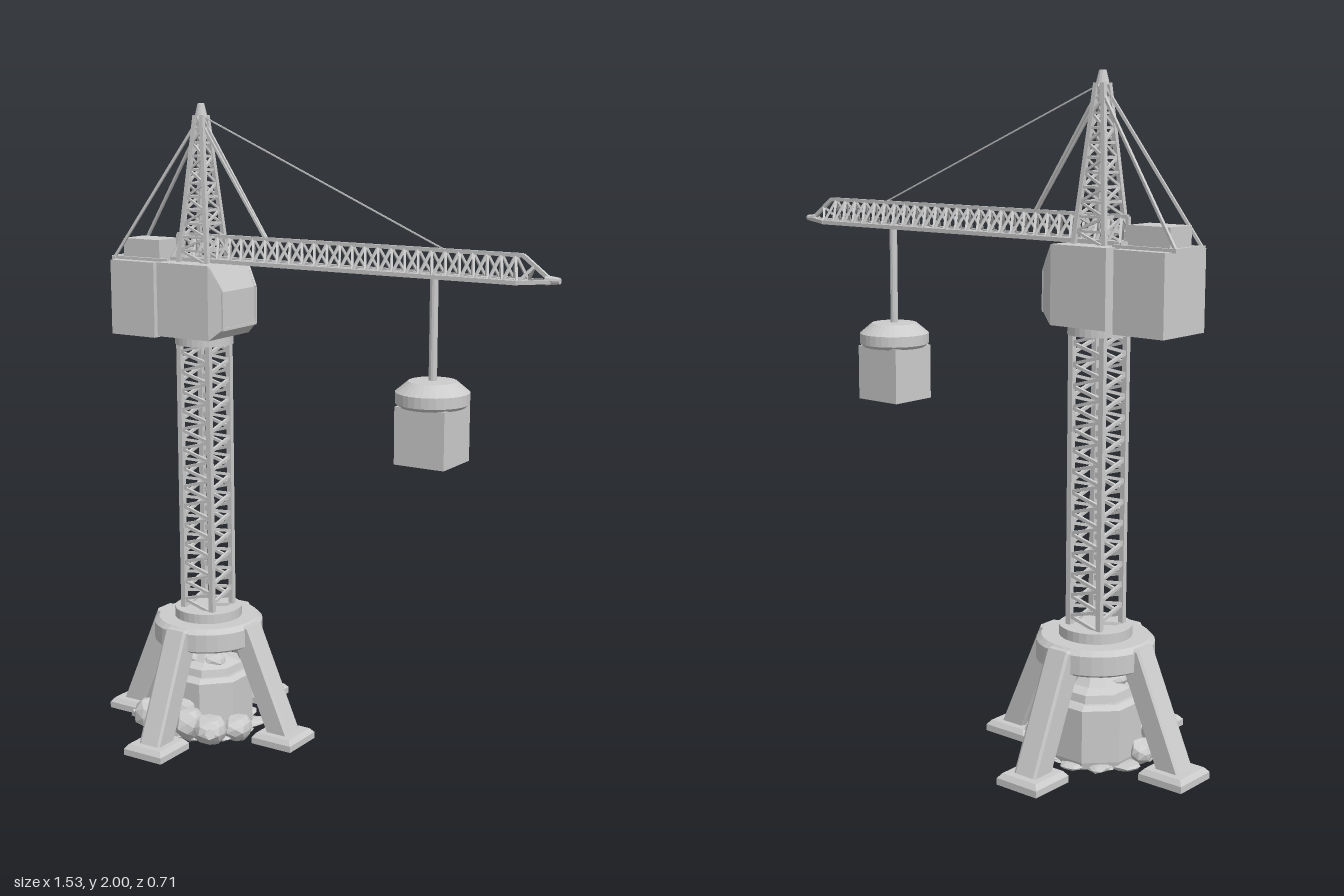
import * as THREE from 'three';
import { mergeGeometries } from 'three/addons/utils/BufferGeometryUtils.js';

const MAT = new THREE.MeshStandardMaterial({ color: 0xcccccc, flatShading: true, side: THREE.DoubleSide });
const AXIS = -0.412; // x of the tower
const V = (x, y, z) => new THREE.Vector3(x, y, z);

function add(parent, name, geo, x = 0, y = 0, z = 0) {
  const mesh = new THREE.Mesh(geo, MAT);
  mesh.name = name;
  mesh.position.set(x, y, z);
  parent.add(mesh);
  return mesh;
}

// Square bar from a to b
function bar(a, b, w, h = w) {
  const geo = new THREE.BoxGeometry(w, h, a.distanceTo(b));
  const m = new THREE.Matrix4();
  const dir = b.clone().sub(a).normalize();
  m.lookAt(b, a, Math.abs(dir.y) > 0.99 ? V(0, 0, 1) : V(0, 1, 0));
  m.setPosition(a.clone().add(b).multiplyScalar(0.5));
  return geo.applyMatrix4(m);
}

// Box whose face on one axis side is shrunk and shifted
function taperBox(w, h, d, rule) {
  const geo = new THREE.BoxGeometry(w, h, d);
  const p = geo.attributes.position;
  const v = V(0, 0, 0);
  for (let i = 0; i < p.count; i++) {
    rule(v.fromBufferAttribute(p, i));
    p.setXYZ(i, v.x, v.y, v.z);
  }
  geo.computeVertexNormals();
  return geo;
}

// Four-sided lattice column, half widths r0 to r1
function latticeColumn(y0, y1, r0, r1, steps, chord, brace, rungs) {
  const parts = [];
  const corner = (k, t) => {
    const r = r0 + (r1 - r0) * t;
    const a = Math.PI / 4 + k * Math.PI / 2;
    return V(r * Math.SQRT2 * Math.cos(a), y0 + (y1 - y0) * t, r * Math.SQRT2 * Math.sin(a));
  };
  for (let k = 0; k < 4; k++) {
    parts.push(bar(corner(k, 0), corner(k, 1), chord));
    for (let i = 0; i < steps; i++) {
      const s = i % 2;
      parts.push(bar(corner(k + s, i / steps), corner(k + 1 - s, (i + 1) / steps), brace));
      if (rungs) parts.push(bar(corner(k, i / steps), corner(k + 1, i / steps), brace));
    }
  }
  return mergeGeometries(parts);
}

const lathe = (pts, n = 32) => new THREE.LatheGeometry(pts.map(p => new THREE.Vector2(...p)), n);

let seed = 7;
const rnd = () => (seed = (seed * 16807) % 2147483647) / 2147483647;

// Lumpy stone
function rock(sx, sy, sz) {
  const geo = new THREE.IcosahedronGeometry(1, 1);
  const p = geo.attributes.position;
  const f = rnd() * 6;
  for (let i = 0; i < p.count; i++) {
    const x = p.getX(i), y = p.getY(i), z = p.getZ(i);
    const s = 0.92 + 0.14 * Math.sin(3 * x + f) * Math.cos(4 * z + 2 * y + f);
    p.setXYZ(i, x * s * sx, y * s * sy, z * s * sz);
  }
  geo.computeVertexNormals();
  return geo;
}

function buildBase(g) {
  add(g, 'baseRing', lathe([[0.1, 0.325], [0.155, 0.325], [0.172, 0.335], [0.172, 0.39], [0.157, 0.405], [0, 0.405]]));
  add(g, 'ringFloor', new THREE.CylinderGeometry(0.11, 0.11, 0.02, 32), 0, 0.36, 0);
  add(g, 'towerFlange', new THREE.CylinderGeometry(0.106, 0.106, 0.03, 32), 0, 0.42, 0);
  // Four splayed legs with pads
  for (let i = 0; i < 4; i++) {
    const leg = new THREE.Group();
    leg.name = 'leg';
    leg.rotation.y = i * Math.PI / 2;
    const s = new THREE.Shape([[0.325, 0.06], [0.245, 0.06], [0.125, 0.335], [0.125, 0.4], [0.178, 0.4]]
      .map(p => new THREE.Vector2(...p)));
    const strut = new THREE.ExtrudeGeometry(s, { depth: 0.062, bevelThickness: 0.008, bevelSize: 0.006, bevelOffset: -0.006, bevelSegments: 1 });
    add(leg, 'legStrut', strut, 0, 0, -0.031);
    add(leg, 'legPad', new THREE.BoxGeometry(0.145, 0.02, 0.142), 0.283, 0.045, 0);
    add(leg, 'legPadTop', taperBox(0.145, 0.014, 0.142, v => {
      if (v.y > 0) { v.x *= 0.84; v.z *= 0.84; }
    }), 0.283, 0.062, 0);
    g.add(leg);
  }
}

function buildMound(g) {
  // Faceted tank with a stepped lid
  const tank = add(g, 'tank', lathe([[0, 0.04], [0.135, 0.04], [0.14, 0.06], [0.14, 0.215], [0.122, 0.227],
    [0.11, 0.227], [0.105, 0.25], [0.07, 0.262], [0.05, 0.285], [0, 0.29]], 8));
  tank.rotation.y = Math.PI / 8;
  // Stones heaped on the front
  const stones = [
    [-0.12, 0.09, 0.15, 0.06, 0.06, 0.055], [-0.05, 0.08, 0.16, 0.065, 0.07, 0.05], [0.03, 0.09, 0.15, 0.05, 0.06, 0.06],
    [0.1, 0.08, 0.14, 0.065, 0.05, 0.06], [0.15, 0.07, 0.06, 0.05, 0.045, 0.06], [-0.14, 0.07, 0.05, 0.04, 0.04, 0.06],
    [0.0, 0.13, 0.12, 0.04, 0.035, 0.04], [0.03, 0.26, 0.02, 0.05, 0.03, 0.04], [-0.04, 0.265, 0.04, 0.04, 0.025, 0.04]];
  for (const [x, y, z, a, b, c] of stones) add(g, 'stone', rock(a, b, c), x, y, z);
  // Flat slabs fanned out below
  for (let i = 0; i < 11; i++) {
    const a = i * Math.PI * 2 / 11, r = 0.09 + 0.035 * rnd();
    const slab = add(g, 'slab', rock(0.075, 0.014, 0.05), r * Math.cos(a), 0.04, r * Math.sin(a) + 0.015);
    slab.rotation.set(0, -a, 0.12);
  }
  // Pointed sprigs at the rim
  for (const [x, y, z, a] of [[-0.17, 0.07, 0.15, 3.5], [0.12, 0.08, 0.17, 0.8], [0.17, 0.09, -0.07, -0.5]]) {
    const sprig = add(g, 'sprig', new THREE.ConeGeometry(0.018, 0.05, 5), x, y, z);
    sprig.rotation.set(0, -a, 1.9);
  }
  add(g, 'underside', new THREE.ConeGeometry(0.11, 0.03, 9).rotateX(Math.PI), 0, 0.025, 0);
  add(g, 'root', new THREE.ConeGeometry(0.012, 0.03, 6).rotateX(Math.PI), 0, 0.015, 0);
}

function buildTower(g) {
  add(g, 'towerLattice', latticeColumn(0.43, 1.285, 0.054, 0.054, 28, 0.016, 0.009, false));
  add(g, 'turntable', new THREE.CylinderGeometry(0.09, 0.09, 0.03, 32), 0, 1.293, 0);
  add(g, 'mastLattice', latticeColumn(1.525, 1.965, 0.053, 0.012, 11, 0.013, 0.007, true));
  add(g, 'mastCap', new THREE.CylinderGeometry(0.01, 0.02, 0.04, 12), 0, 1.98, 0);
}

function buildHouse(g) {
  add(g, 'machineHouse', new THREE.BoxGeometry(0.19, 0.225, 0.212), -0.415, 1.4175, 0);
  // Sloped cabin nose
  add(g, 'cabinNose', taperBox(0.04, 0.225, 0.212, v => {
    if (v.x > 0) { v.y = v.y > 0 ? 0.035 : -0.078; v.z *= 0.84; }
  }), -0.3, 1.4175, 0);
  // Window frames following the slope
  const frame = [];
  for (const s of [-1, 1]) {
    frame.push(bar(V(-0.321, 1.525, s * 0.1), V(-0.281, 1.452, s * 0.086), 0.008));
    frame.push(bar(V(-0.281, 1.452, s * 0.086), V(-0.281, 1.34, s * 0.086), 0.008));
  }
  frame.push(bar(V(-0.281, 1.34, -0.088), V(-0.281, 1.34, 0.088), 0.008));
  add(g, 'windowFrame', mergeGeometries(frame));
  // Counterweight, winch housing and their carrier
  add(g, 'counterweight', new THREE.BoxGeometry(0.166, 0.23, 0.194), -0.612, 1.412, 0);
  add(g, 'winchHousing', new THREE.BoxGeometry(0.138, 0.065, 0.1), -0.61, 1.558, 0);
  const carrier = [-1, 1].map(s => bar(V(-0.71, 1.531, s * 0.06), V(-0.5, 1.531, s * 0.06), 0.01));
  carrier.push(bar(V(-0.705, 1.531, -0.07), V(-0.705, 1.531, 0.07), 0.012));
  add(g, 'carrier', mergeGeometries(carrier));
}

function buildJib(g) {
  const lo = 1.537, hi = 1.608, x0 = -0.505, x1 = 0.655, hw = 0.037, n = 27;
  const parts = [bar(V(x0, hi, 0), V(x1, hi, 0), 0.011), bar(V(x1, hi, 0), V(0.735, 1.548, 0), 0.011)];
  const dx = (x1 - x0) / n;
  for (const s of [-1, 1]) {
    parts.push(bar(V(x0, lo, s * hw), V(x1, lo, s * hw), 0.012));
    parts.push(bar(V(x1, lo, s * hw), V(0.74, lo + 0.005, s * 0.006), 0.011));
    // Zigzag side braces
    for (let i = 0; i < n; i++) {
      const x = x0 + i * dx;
      parts.push(bar(V(x, lo, s * hw), V(x + dx / 2, hi, 0), 0.007));
      parts.push(bar(V(x + dx / 2, hi, 0), V(x + dx, lo, s * hw), 0.007));
    }
    parts.push(bar(V(x1, lo, s * hw), V(0.69, 1.582, 0), 0.007));
  }
  // Bottom rungs and diagonals
  for (let i = 0; i <= n; i++) {
    const x = x0 + i * dx, s = i % 2 ? 1 : -1;
    parts.push(bar(V(x, lo, -hw), V(x, lo, hw), 0.007));
    if (i < n) parts.push(bar(V(x, lo, s * hw), V(x + dx, lo, -s * hw), 0.006));
  }
  parts.push(bar(V(x0, lo, 0), V(x0, hi, 0), 0.01));
  add(g, 'jib', mergeGeometries(parts));
  add(g, 'jibTip', new THREE.CylinderGeometry(0.009, 0.014, 0.04, 10).rotateZ(-Math.PI / 2), 0.745, 1.545, 0);

  // Stay cables from the mast head
  const stays = [bar(V(AXIS, 1.965, 0), V(0.42, hi, 0), 0.004)];
  for (const s of [-1, 1]) {
    stays.push(bar(V(AXIS, 1.955, s * 0.012), V(-0.705, 1.532, s * 0.062), 0.008));
    stays.push(bar(V(AXIS, 1.955, s * 0.01), V(-0.18, hi, s * 0.004), 0.007));
  }
  add(g, 'stayCables', mergeGeometries(stays));
}

function buildLoad(g) {
  add(g, 'hoistCable', new THREE.CylinderGeometry(0.012, 0.012, 0.31, 12), 0, 1.385, 0);
  add(g, 'liftingDisc', lathe([[0, 1.165], [0.095, 1.165], [0.107, 1.175], [0.107, 1.207], [0.07, 1.238], [0, 1.24]]));
  add(g, 'load', new THREE.BoxGeometry(0.16, 0.168, 0.156), 0, 1.084, 0);
}

export function createModel() {
  const model = new THREE.Group();
  model.name = 'towerCrane';
  const section = (name, x, build) => {
    const g = new THREE.Group();
    g.name = name;
    g.position.x = x;
    build(g);
    model.add(g);
  };
  section('base', AXIS, buildBase);
  section('mound', AXIS, buildMound);
  section('tower', AXIS, buildTower);
  section('house', 0, buildHouse);
  section('jibAssembly', 0, buildJib);
  section('loadAssembly', 0.385, buildLoad);
  return model;
}
